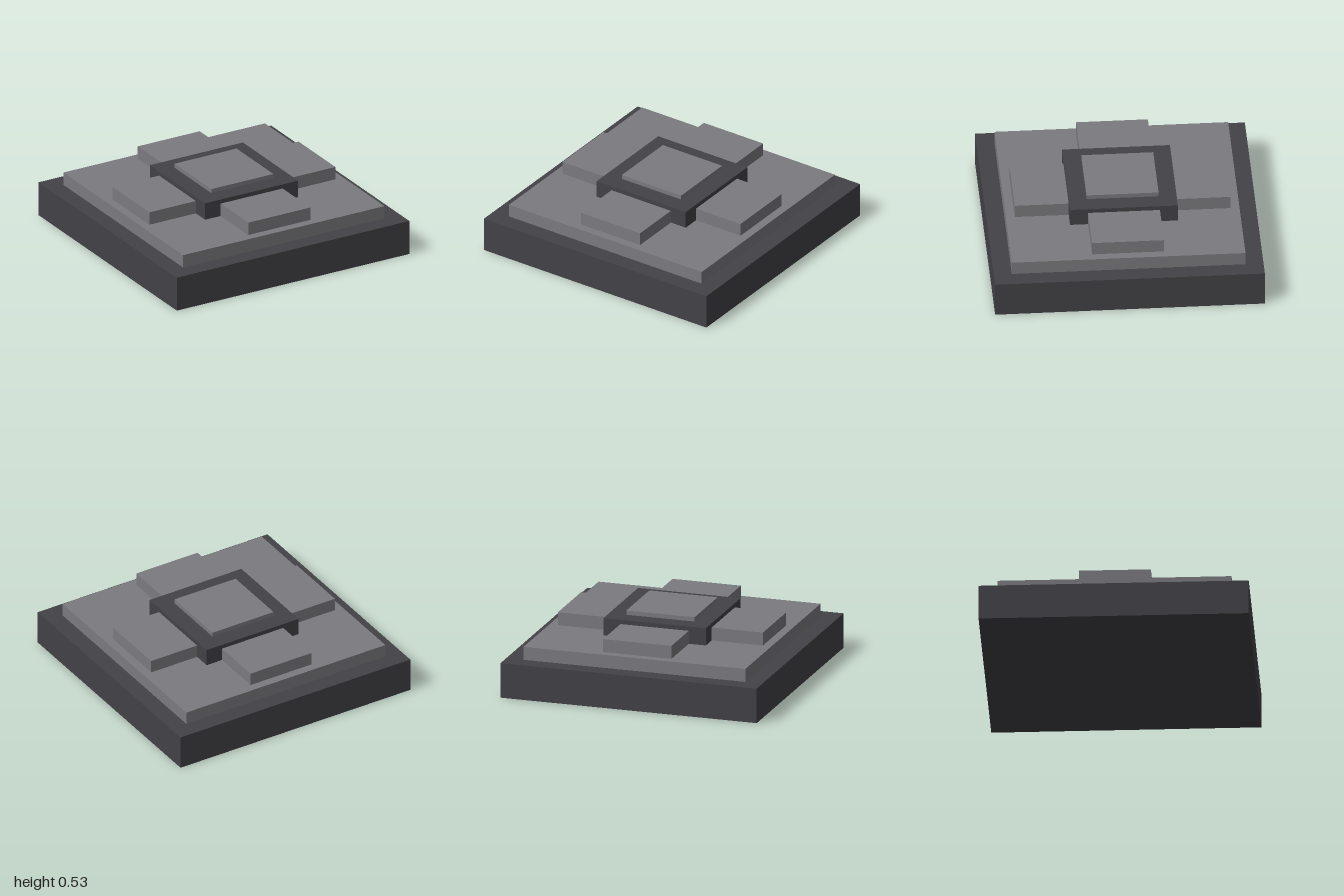
import * as THREE from 'three';

export function createModel() {
  const model = new THREE.Group();
  model.name = 'steppedPlatform';

  const darkGrey = new THREE.MeshStandardMaterial({ color: 0x434247 });
  darkGrey.name = 'darkGrey';
  const midGrey = new THREE.MeshStandardMaterial({ color: 0x7b7a7f });
  midGrey.name = 'midGrey';

  // Box standing between two heights
  function slab(name, material, width, depth, bottom, top, x = 0, z = 0) {
    const mesh = new THREE.Mesh(new THREE.BoxGeometry(width, top - bottom, depth), material);
    mesh.name = name;
    mesh.position.set(x, (bottom + top) / 2, z);
    model.add(mesh);
  }

  // Stacked square tiers
  slab('base', darkGrey, 2, 2, 0, 0.267);
  slab('deck', midGrey, 1.733, 1.733, 0.267, 0.367);
  slab('hub', darkGrey, 0.8, 0.8, 0.367, 0.5);
  slab('hubCap', midGrey, 0.533, 0.533, 0.5, 0.533);

  // Four raised pads around the hub
  for (const side of [-1, 1]) {
    slab(side > 0 ? 'leftPad' : 'rightPad', midGrey, 0.4, 0.533, 0.367, 0.467, side * 0.6, 0);
    slab(side > 0 ? 'frontPad' : 'backPad', midGrey, 0.533, 0.4, 0.367, 0.467, 0, side * 0.6);
  }

  return model;
}
